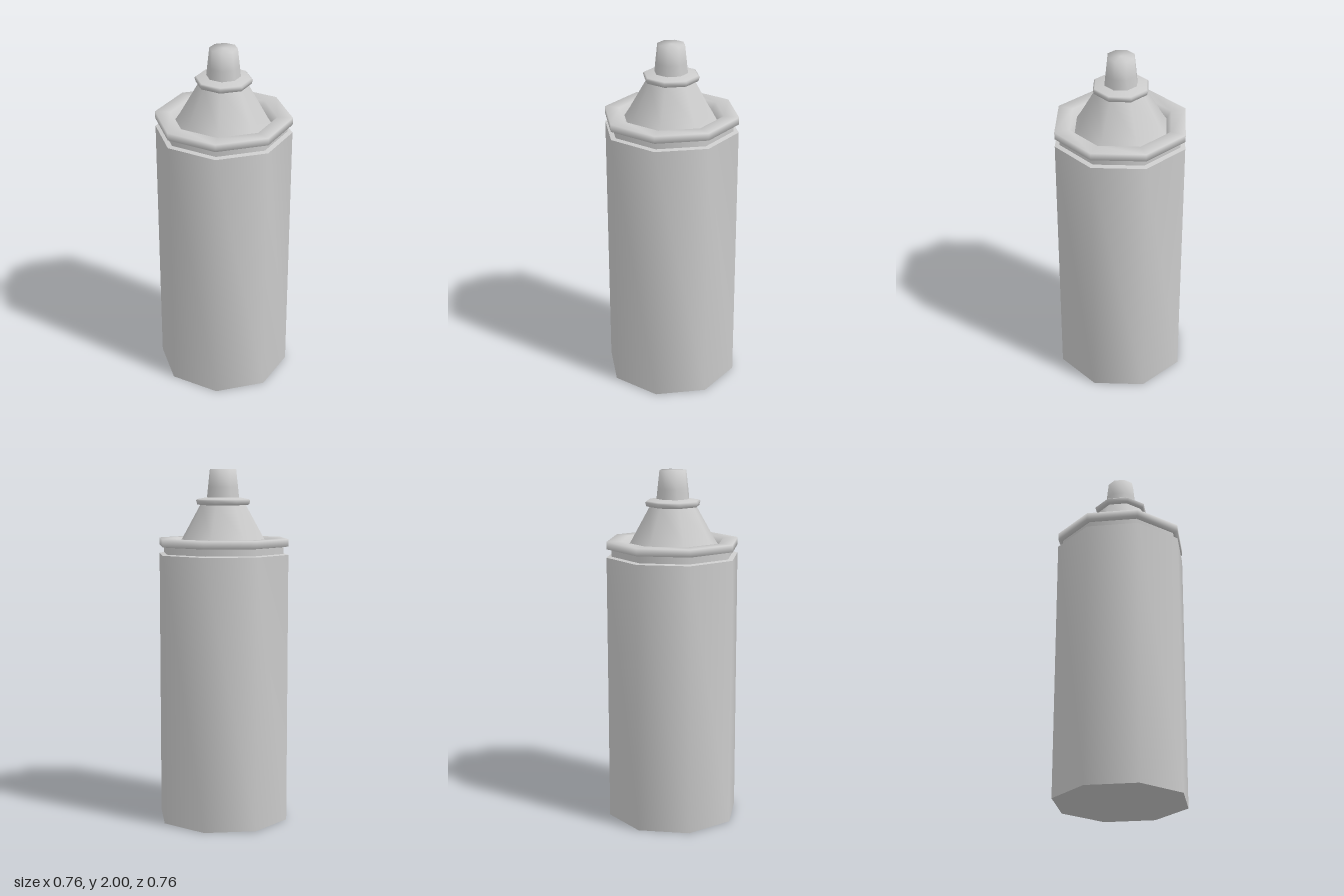
import * as THREE from 'three';
import { toCreasedNormals } from 'three/addons/utils/BufferGeometryUtils.js';

const SIDES = 8;

export function createModel() {
  const group = new THREE.Group();
  const material = new THREE.MeshStandardMaterial({ color: 0xcccccc });

  // Turn a [radius, height] profile, listed from bottom to top, into an octagonal part
  function turned(name, profile, creased = false) {
    const points = profile.map(([r, y]) => new THREE.Vector2(r, y));
    let geometry = new THREE.LatheGeometry(points, SIDES);
    if (creased) geometry = toCreasedNormals(geometry, Math.PI / 3.2);
    const mesh = new THREE.Mesh(geometry, material);
    mesh.name = name;
    group.add(mesh);
  }

  // Can with a flat base and a shoulder stepping in to the neck
  turned('canBody', [[0, 0], [0.38, 0], [0.38, 1.525], [0.352, 1.53]], true);
  turned('neckGroove', [[0.352, 1.53], [0.352, 1.568]]);

  // Rolled rim, sloping inside down to the foot of the cone
  turned('rim', [[0.352, 1.568], [0.38, 1.572], [0.38, 1.613], [0.295, 1.613], [0.268, 1.57]]);

  // Conical dome
  turned('dome', [[0.268, 1.57], [0.24, 1.613], [0.134, 1.8]]);

  // Collar around the foot of the nozzle
  turned('collar', [[0.134, 1.8], [0.152, 1.803], [0.159, 1.825], [0.15, 1.833], [0.094, 1.843]]);

  // Tapered nozzle with a softly shaded flat tip
  turned('nozzle', [[0.094, 1.843], [0.088, 1.9], [0.077, 2], [0, 2]]);

  return group;
}
